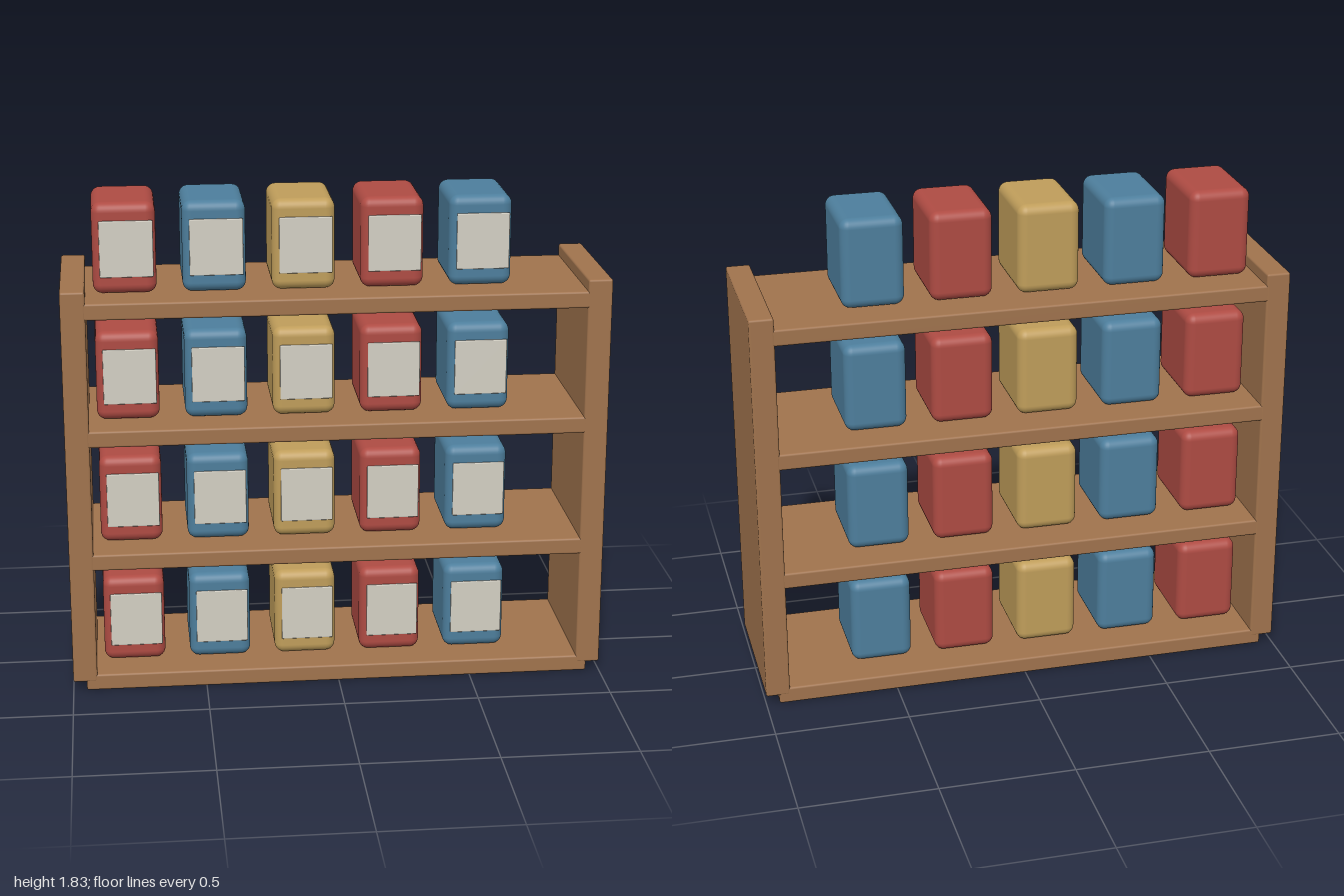
import * as THREE from 'three';
import { RoundedBoxGeometry } from 'three/addons/geometries/RoundedBoxGeometry.js';

const material = (name, color) => {
  const m = new THREE.MeshStandardMaterial({ color });
  m.name = name;
  return m;
};

export function createModel() {
  const wood = material('wood', 0xa0734d);
  const red = material('red', 0xae4b43);
  const blue = material('blue', 0x4d7e9c);
  const mustard = material('mustard', 0xbf9d5a);
  const paper = material('paper', 0xd3cfc3);

  const model = new THREE.Group();
  model.name = 'shelfWithBoxes';

  const add = (parent, name, geometry, mat, x, y, z = 0) => {
    const mesh = new THREE.Mesh(geometry, mat);
    mesh.name = name;
    mesh.position.set(x, y, z);
    parent.add(mesh);
  };

  // Upright end panels
  const sideGeo = new RoundedBoxGeometry(0.09, 1.505, 0.58, 2, 0.008);
  add(model, 'leftSide', sideGeo, wood, 0.955, 0.7875);
  add(model, 'rightSide', sideGeo, wood, -0.955, 0.7875);

  // Shelves, each with a row of five labelled boxes
  const shelfGeo = new RoundedBoxGeometry(1.9, 0.062, 0.578, 2, 0.008);
  const boxGeo = new RoundedBoxGeometry(0.23, 0.335, 0.334, 4, 0.035);
  const labelGeo = new RoundedBoxGeometry(0.194, 0.208, 0.009, 2, 0.004);
  const colors = [red, blue, mustard, red, blue];

  for (let row = 0; row < 4; row++) {
    const top = 0.062 + row * 0.478;
    add(model, 'shelf', shelfGeo, wood, 0, top - 0.031);
    colors.forEach((color, i) => {
      const box = new THREE.Group();
      box.name = 'storageBox';
      box.position.set(-0.765 + i * 0.324, top + 0.169, 0);
      add(box, 'body', boxGeo, color, 0, 0);
      add(box, 'label', labelGeo, paper, 0.008, 0, 0.1675);
      model.add(box);
    });
  }
  return model;
}
